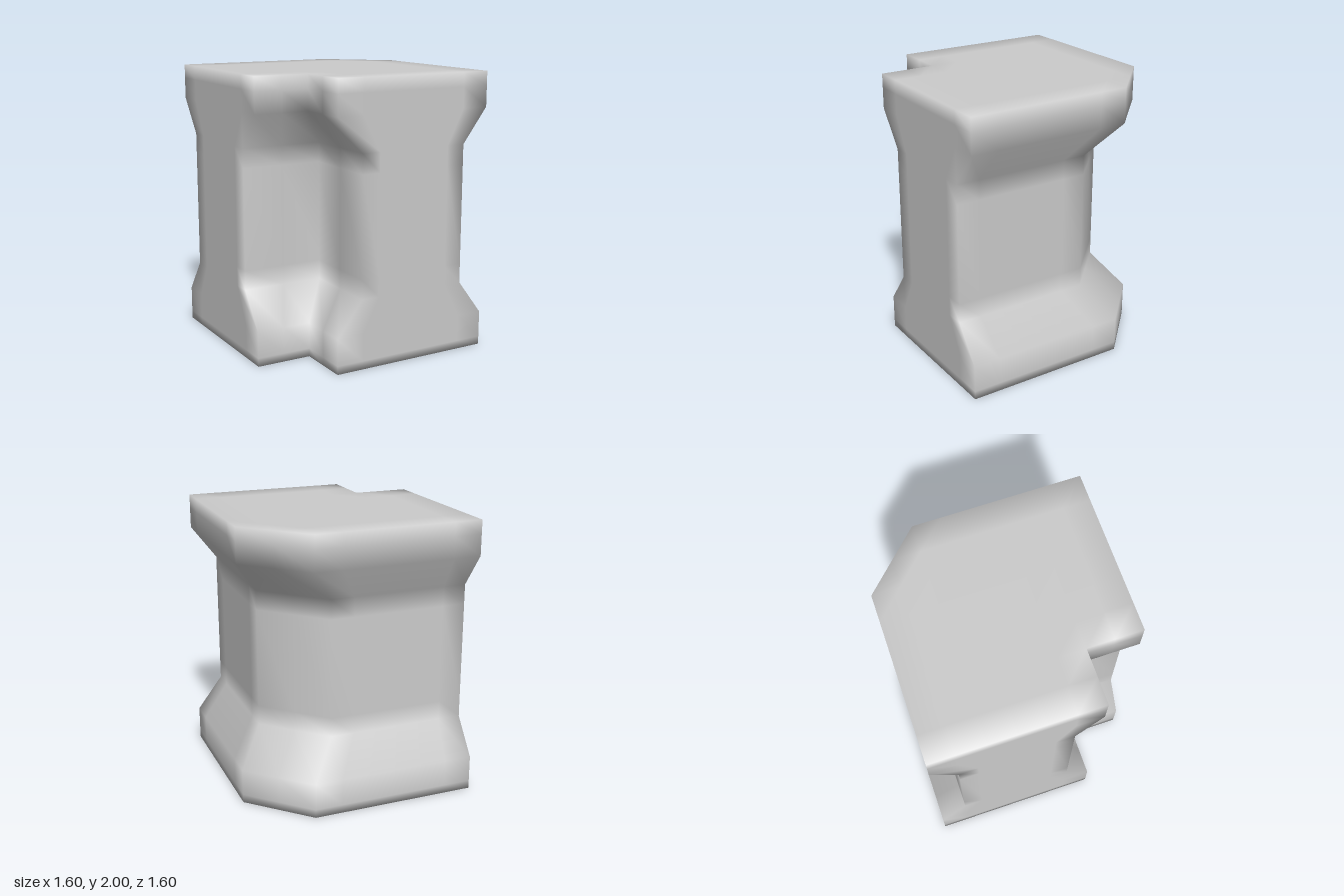
import * as THREE from 'three';
import { mergeVertices } from 'three/addons/utils/BufferGeometryUtils.js';

// Footprint corners [x, z], the matching corners of the narrower shaft, and steps per side
const FOOT = [[-0.8, -0.8], [0.4, -0.8], [0.8, -0.4], [0.8, 0.8], [-0.4, 0.8], [-0.4, 0.4], [-0.8, 0.4]];
const SHAFT = [[-0.8, -0.61], [0.21, -0.61], [0.61, -0.21], [0.61, 0.8], [-0.21, 0.8], [-0.21, 0.21], [-0.8, 0.21]];
const STEPS = [6, 2, 6, 6, 2, 2, 6];

// Height and inset (0 = full footprint, 1 = shaft)
const LEVELS = [[0, 0], [0.06, 0], [0.25, 0], [0.5, 1], [0.64, 1], [1.36, 1], [1.5, 1], [1.75, 0], [1.9, 0], [2, 0]];

function ring([y, inset]) {
  const corners = FOOT.map(([x, z], i) => new THREE.Vector3(x, y, z)
    .lerp(new THREE.Vector3(SHAFT[i][0], y, SHAFT[i][1]), inset));
  return corners.flatMap((c, i) => Array.from({ length: STEPS[i] },
    (_, k) => c.clone().lerp(corners[(i + 1) % corners.length], k / STEPS[i])));
}

function wallBlock() {
  const positions = [];
  const tri = (...pts) => pts.forEach((p) => positions.push(p.x, p.y, p.z));

  // Side walls, ring to ring
  const rings = LEVELS.map(ring);
  for (let l = 0; l < rings.length - 1; l++) {
    const lo = rings[l], hi = rings[l + 1], n = lo.length;
    for (let i = 0; i < n; i++) {
      const j = (i + 1) % n;
      tri(lo[i], hi[i], hi[j]);
      tri(lo[i], hi[j], lo[j]);
    }
  }

  // Top and bottom as a grid, leaving out the notch and the cut corner
  for (let i = 0; i < 8; i++) {
    for (let j = 0; j < 8; j++) {
      if ((i < 2 && j > 5) || i - j > 6) continue;
      const at = (a, b, y) => new THREE.Vector3(-0.8 + 0.2 * a, y, -0.8 + 0.2 * b);
      for (const y of [0, 2]) {
        const a = at(i, j, y), b = at(i, j + 1, y), c = at(i + 1, j + 1, y), d = at(i + 1, j, y);
        const face = (p, q, r) => (y ? tri(p, q, r) : tri(p, r, q));
        face(a, b, c);
        if (i - j < 6) face(a, c, d);
      }
    }
  }

  // Weld so the normals blend softly over every edge
  const geometry = new THREE.BufferGeometry();
  geometry.setAttribute('position', new THREE.Float32BufferAttribute(positions, 3));
  const welded = mergeVertices(geometry, 1e-3);
  welded.computeVertexNormals();
  return welded;
}

export function createModel() {
  const group = new THREE.Group();
  group.name = 'cornerWall';
  const body = new THREE.Mesh(wallBlock(), new THREE.MeshStandardMaterial({ color: 0xcccccc }));
  body.name = 'wallBody';
  group.add(body);
  return group;
}
